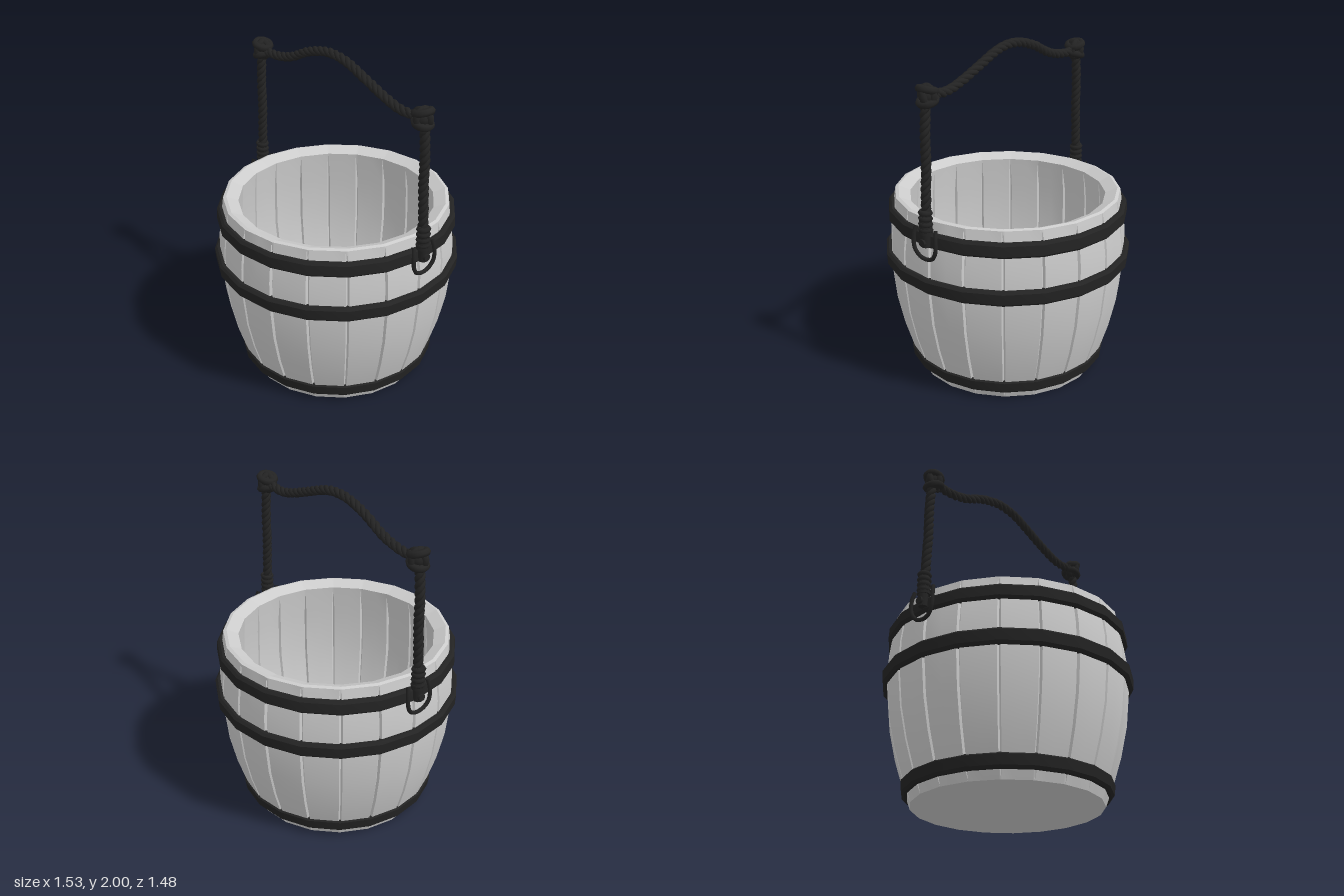
import * as THREE from 'three';
import { toCreasedNormals } from 'three/addons/utils/BufferGeometryUtils.js';

const STAVES = 20;
const paleWood = new THREE.MeshStandardMaterial({ color: 0xcccccc });
const blackIron = new THREE.MeshStandardMaterial({ color: 0x232323 });

const v2 = ([x, y]) => new THREE.Vector2(x, y);
const v3 = ([x, y, z = 0]) => new THREE.Vector3(x, y, z);

function add(parent, geometry, material, name) {
  const mesh = new THREE.Mesh(geometry, material);
  mesh.name = name;
  parent.add(mesh);
  return mesh;
}

// Bucket shell: one closed profile, pinched into narrow grooves between flat staves
function shellGeometry() {
  const outer = [[0, 0], [0.55, 0], [0.6, 0.13], [0.65, 0.29], [0.69, 0.47], [0.712, 0.68],
    [0.71, 0.86], [0.692, 1.0], [0.674, 1.11]];
  const inner = [[0.655, 1.116], [0.585, 1.085], [0.6, 0.9], [0.605, 0.65], [0.57, 0.35], [0.495, 0.1], [0, 0.1]];
  const profile = [...outer, ...inner];
  const geometry = new THREE.LatheGeometry(profile.map(v2), STAVES * 4);
  const pos = geometry.attributes.position;
  const step = Math.PI * 2 / STAVES;
  for (let i = 0; i < pos.count; i++) {
    const row = i % profile.length, k = Math.floor(i / profile.length);
    const stave = Math.floor(k / 4), part = k % 4;
    const [r, y] = profile[row];
    const edge = 0.014;
    const local = [0, edge, step / 2, step - edge][part];
    let radius = r * Math.cos(step / 2) / Math.cos(local - step / 2);
    const grooved = (row >= 2 && row < outer.length - 1) || (row > outer.length + 1 && row < profile.length - 2);
    if (part === 0 && grooved) radius += row < outer.length ? -0.016 : 0.012;
    const a = (stave % STAVES) * step + local;
    pos.setXYZ(i, radius * Math.sin(a), y, radius * Math.cos(a));
  }
  return toCreasedNormals(geometry, 0.6);
}

// Hoop: closed rounded section swept round the staves
function hoopGeometry(y0, y1, r0, r1) {
  const t = 0.045, b = 0.014;
  const section = [[r0 - t, y0], [r0 - b, y0], [r0, y0 + b], [r1, y1 - b], [r1 - b, y1], [r1 - t, y1], [r0 - t, y0]];
  return toCreasedNormals(new THREE.LatheGeometry(section.map(v2), STAVES), 0.6);
}

// One strand winding around a path that lies in the xy plane
class Strand extends THREE.Curve {
  constructor(path, offset, turns, phase) {
    super();
    Object.assign(this, { path, offset, turns, phase });
  }
  getPoint(t, target = new THREE.Vector3()) {
    const p = this.path.getPointAt(t), d = this.path.getTangentAt(t);
    const a = this.phase + t * this.turns * Math.PI * 2;
    const c = Math.cos(a) * this.offset, s = Math.sin(a) * this.offset;
    return target.set(p.x - d.y * c, p.y + d.x * c, p.z + s);
  }
}

function makeRope(points, radius, turns, name) {
  const group = new THREE.Group();
  group.name = name;
  const path = new THREE.CatmullRomCurve3(points.map(v3));
  for (let i = 0; i < 3; i++) {
    const strand = new Strand(path, radius * 0.45, turns, i * Math.PI * 2 / 3);
    add(group, new THREE.TubeGeometry(strand, turns * 12, radius * 0.58, 7), blackIron, 'ropeStrand');
  }
  return group;
}

// Knot: a core wrapped by a few tilted rope turns
function makeKnot() {
  const group = new THREE.Group();
  group.name = 'cornerKnot';
  add(group, new THREE.SphereGeometry(0.05, 12, 8), blackIron, 'knotCore');
  const wraps = [[Math.PI / 2, 0.3, 0.03], [Math.PI / 2, -0.3, -0.03], [0.2, Math.PI / 2, 0], [0.15, 0.25, 0]];
  for (const [rx, ry, y] of wraps) {
    const wrap = add(group, new THREE.TorusGeometry(0.044, 0.022, 7, 16), blackIron, 'knotWrap');
    wrap.rotation.set(rx, ry, 0);
    wrap.position.y = y;
  }
  return group;
}

// Lower fixing: whipped rope end, hanging ring and peg
function makeFixing() {
  const group = new THREE.Group();
  group.name = 'ropeFixing';
  const whipping = add(group, new THREE.CylinderGeometry(0.032, 0.038, 0.14, 10), blackIron, 'whipping');
  whipping.position.y = 1.125;
  for (let i = 0; i < 4; i++) {
    const turn = add(group, new THREE.TorusGeometry(0.027, 0.015, 6, 14), blackIron, 'whippingTurn');
    turn.position.y = 1.08 + i * 0.033;
    turn.rotation.set(Math.PI / 2, 0.12, 0);
  }
  const tongue = add(group, new THREE.CylinderGeometry(0.03, 0.026, 0.1, 8), blackIron, 'ropeTongue');
  tongue.position.set(0.005, 1.03, 0);
  const ring = [[0, 1.09, 0.07], [0.012, 1.04, 0.079], [0.014, 0.96, 0.076], [0.008, 0.915, 0.045], [0.006, 0.902, 0],
    [0.008, 0.915, -0.045], [0.014, 0.96, -0.076], [0.012, 1.04, -0.079], [0, 1.09, -0.07]];
  add(group, new THREE.TubeGeometry(new THREE.CatmullRomCurve3(ring.map(v3)), 32, 0.012, 7), blackIron, 'hangingRing');
  const peg = add(group, new THREE.CylinderGeometry(0.018, 0.022, 0.16, 8), blackIron, 'peg');
  peg.rotation.z = Math.PI / 2;
  peg.position.set(-0.04, 1.01, 0);
  return group;
}

export function createModel() {
  const model = new THREE.Group();
  model.name = 'bucket';
  add(model, shellGeometry(), paleWood, 'staves');

  add(model, hoopGeometry(0.05, 0.135, 0.6, 0.608), blackIron, 'lowerHoop');
  add(model, hoopGeometry(0.685, 0.775, 0.738, 0.742), blackIron, 'middleHoop');
  add(model, hoopGeometry(0.962, 1.05, 0.718, 0.714), blackIron, 'upperHoop');

  // Handle: arched grip, with a hanging rope, knot and fixing on each side
  model.add(makeRope([[-0.66, 1.82], [-0.54, 1.822], [-0.4, 1.855], [-0.25, 1.925], [-0.1, 1.968], [0, 1.972],
    [0.1, 1.955], [0.25, 1.9], [0.4, 1.845], [0.52, 1.815], [0.66, 1.82]], 0.028, 10, 'gripRope'));
  for (const side of [1, -1]) {
    const sidePoints = [[0.722, 1.1], [0.715, 1.3], [0.707, 1.45], [0.708, 1.6], [0.692, 1.84]];
    model.add(makeRope(sidePoints.map(([x, y]) => [x * side, y]), 0.029, 6, 'sideRope'));
    const knot = makeKnot();
    knot.position.set(0.68 * side, 1.825, 0);
    knot.rotation.y = side > 0 ? 0 : Math.PI;
    model.add(knot);
    const fixing = makeFixing();
    fixing.position.x = 0.725 * side;
    fixing.rotation.y = side > 0 ? 0 : Math.PI;
    model.add(fixing);
  }
  return model;
}
